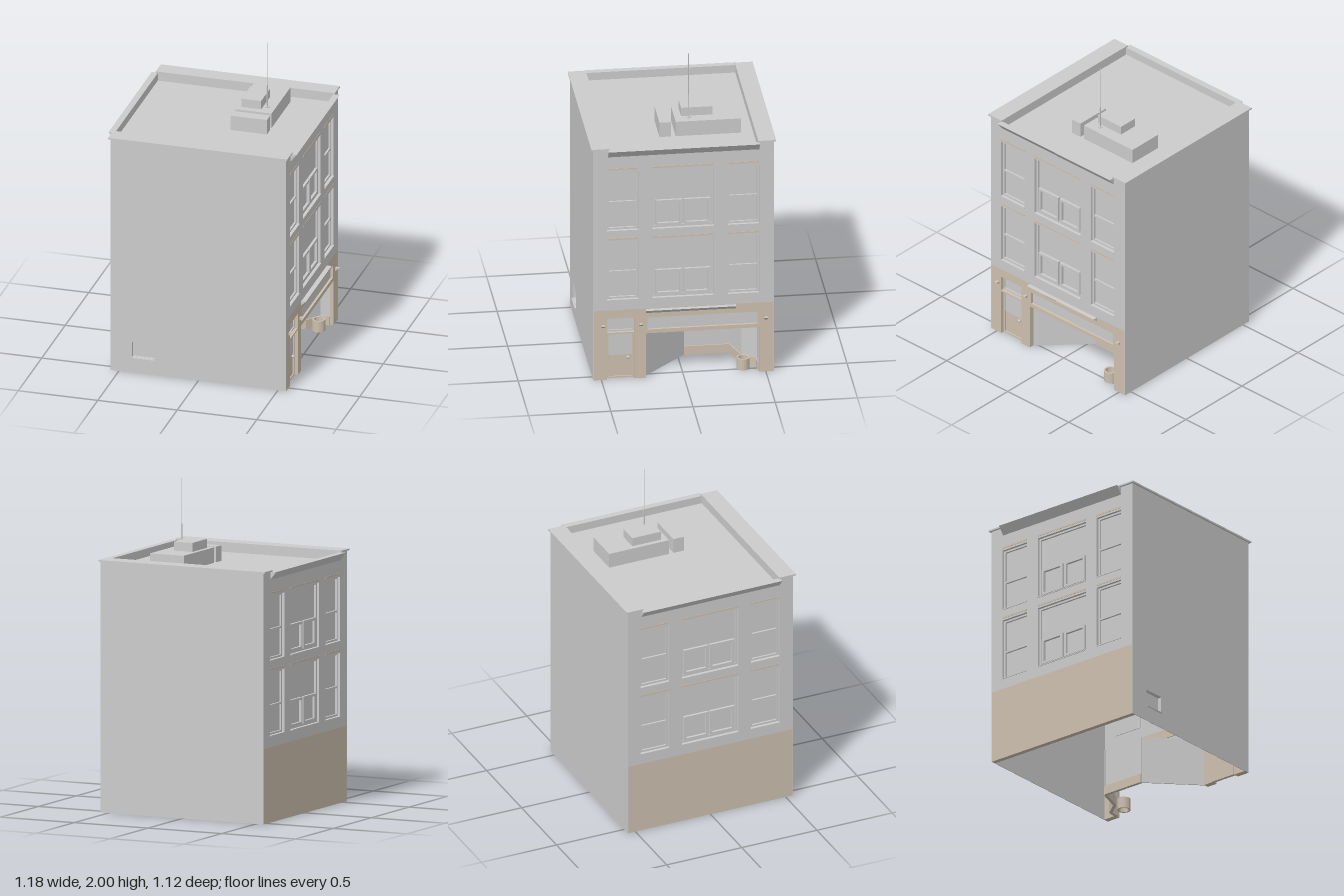
import * as THREE from 'three';

const grey = new THREE.MeshStandardMaterial({ color: 0xcccccc });
const tan = new THREE.MeshStandardMaterial({ color: 0xccbfae });

function add(parent, name, geometry, material = grey) {
  const mesh = new THREE.Mesh(geometry, material);
  mesh.name = name;
  parent.add(mesh);
  return mesh;
}

// Box given by its limits on each axis
function block(parent, name, [x0, x1], [y0, y1], [z0, z1], material) {
  const geo = new THREE.BoxGeometry(x1 - x0, y1 - y0, z1 - z0);
  geo.translate((x0 + x1) / 2, (y0 + y1) / 2, (z0 + z1) / 2);
  return add(parent, name, geo, material);
}

const rectPoints = ([x0, x1, y0, y1]) =>
  [[x0, y0], [x1, y0], [x1, y1], [x0, y1]].map(([x, y]) => new THREE.Vector2(x, y));

// Flat slab with rectangular holes; its outer face lies at z = front
function slab(parent, name, points, holes, front, depth, material) {
  const shape = new THREE.Shape(points);
  for (const h of holes) shape.holes.push(new THREE.Path(rectPoints(h)));
  const geo = new THREE.ExtrudeGeometry(shape, { depth, bevelEnabled: false });
  geo.translate(0, 0, front - depth);
  return add(parent, name, geo, material);
}

function frame(parent, name, [x0, x1, y0, y1], w, front, depth, material) {
  slab(parent, name, rectPoints([x0, x1, y0, y1]), [[x0 + w, x1 - w, y0 + w, y1 - w]], front, depth, material);
}

// Triangular prism running along x, widest at its top
function wedge(parent, name, [x0, x1], [y0, y1], out, material) {
  const shape = new THREE.Shape([[0, y0], [out, y1], [0, y1]].map(([x, y]) => new THREE.Vector2(x, y)));
  const geo = new THREE.ExtrudeGeometry(shape, { depth: x1 - x0, bevelEnabled: false });
  geo.rotateY(-Math.PI / 2);
  geo.translate(x1, 0, 0);
  return add(parent, name, geo, material);
}

// Upper storeys, shared by both window sides (local z points outward)
function upperFacade() {
  const g = new THREE.Group();
  g.name = 'upperFacade';
  const columns = [[-0.465, -0.275], [-0.19, 0.185], [0.27, 0.46]];
  const rows = [[0.53, 0.915], [0.99, 1.38]];
  const windows = rows.flatMap(r => columns.map(c => [...c, ...r]));
  slab(g, 'upperWall', rectPoints([-0.546, 0.546, 0.46, 1.48]), windows, 0, 0.03);
  for (const [x0, x1, y0, y1] of windows) {
    const mid = y0 + (y1 - y0) * 0.46, cx = (x0 + x1) / 2;
    block(g, 'windowGlass', [x0, x1], [y0, y1], [-0.034, -0.028]);
    frame(g, 'windowFrame', [x0, x1, y0, y1], 0.012, -0.016, 0.012);
    if (x1 - x0 > 0.3) {
      // Wide window: two small sashes in the lower half
      frame(g, 'lowerSash', [x0 + 0.02, cx - 0.006, y0 + 0.012, mid], 0.016, -0.012, 0.016);
      frame(g, 'lowerSash', [cx + 0.006, x1 - 0.02, y0 + 0.012, mid], 0.016, -0.012, 0.016);
    } else {
      block(g, 'windowRail', [x0 + 0.012, x1 - 0.012], [mid - 0.006, mid + 0.006], [-0.028, -0.016]);
    }
    block(g, 'lintel', [x0, x1], [y1 + 0.012, y1 + 0.022], [-0.01, 0.002], tan);
    block(g, 'windowSill', [x0, x1], [y0 - 0.006, y0], [-0.02, 0.004]);
  }
  wedge(g, 'cornice', [-0.46, 0.46], [1.48, 1.53], 0.04);
  return g;
}

// Ground floor with door, shop opening and sign band
function shopFacade() {
  const g = new THREE.Group();
  g.name = 'shopFacade';
  const outline = [[-0.546, 0], [-0.465, 0], [-0.465, 0.3], [-0.3, 0.3], [-0.3, 0], [-0.23, 0], [-0.23, 0.295],
    [0.46, 0.295], [0.46, 0], [0.546, 0], [0.546, 0.46], [-0.546, 0.46]];
  const sign = [-0.22, 0.45, 0.32, 0.4], transom = [-0.465, -0.3, 0.31, 0.405];
  slab(g, 'shopWall', outline.map(p => new THREE.Vector2(...p)), [sign, transom], 0, 0.035, tan);
  block(g, 'signBoard', [-0.22, 0.45], [0.32, 0.4], [-0.03, -0.015]);
  block(g, 'transomGlass', [-0.465, -0.3], [0.31, 0.405], [-0.034, -0.028]);
  frame(g, 'transomFrame', transom, 0.01, -0.02, 0.01);
  // Door
  block(g, 'door', [-0.465, -0.3], [0, 0.3], [-0.04, -0.03], tan);
  block(g, 'doorGlass', [-0.455, -0.31], [0.15, 0.29], [-0.032, -0.027]);
  frame(g, 'doorFrame', [-0.465, -0.3, 0, 0.3], 0.01, -0.022, 0.01, tan);
  const knob = add(g, 'doorKnob', new THREE.SphereGeometry(0.01, 12, 8));
  knob.position.set(-0.335, 0.135, -0.02);
  // Small canopy and wall lamps
  wedge(g, 'canopy', [-0.23, 0.318], [0.43, 0.457], 0.03);
  for (const u of [-0.49, -0.26, 0.5]) wedge(g, 'wallLamp', [u - 0.01, u + 0.01], [0.345, 0.366], 0.026, tan);
  return g;
}

// Upright panel between two plan points [x, z]
function panel(parent, name, [ax, az], [bx, bz], [y0, y1], thick, material) {
  const mesh = add(parent, name, new THREE.BoxGeometry(Math.hypot(bx - ax, bz - az), y1 - y0, thick), material);
  mesh.position.set((ax + bx) / 2, (y0 + y1) / 2, (az + bz) / 2);
  mesh.rotation.y = -Math.atan2(bz - az, bx - ax);
}

// Recessed entrance with angled shop windows
function shopRecess() {
  const g = new THREE.Group();
  g.name = 'shopRecess';
  const plan = [[0.52, 0.23], [0.25, -0.04], [0.25, -0.32], [0.4, -0.37], [0.47, -0.46], [0.53, -0.46]];
  for (let i = 0; i < plan.length - 1; i++) {
    const from = i === 0 ? 0 : 0.055;
    panel(g, 'shopWindow', plan[i], plan[i + 1], [from, 0.297], 0.006);
    if (i > 0) panel(g, 'windowBase', plan[i], plan[i + 1], [0, 0.057], 0.02, tan);
  }
  for (const [x, z] of plan.slice(1, 4))
    block(g, 'windowPost', [x - 0.005, x + 0.005], [0.05, 0.297], [z - 0.005, z + 0.005]);
  const shape = new THREE.Shape(plan.map(([x, z]) => new THREE.Vector2(x, -z)));
  const ceiling = new THREE.ExtrudeGeometry(shape, { depth: 0.008, bevelEnabled: false });
  ceiling.rotateX(-Math.PI / 2);
  ceiling.translate(0, 0.295, 0);
  add(g, 'recessCeiling', ceiling);
  // Hollow round planter
  const ring = [[0.03, 0], [0.04, 0], [0.04, 0.072], [0.03, 0.072], [0.03, 0]].map(p => new THREE.Vector2(...p));
  const planter = add(g, 'planter', new THREE.LatheGeometry(ring, 20),
    new THREE.MeshStandardMaterial({ color: 0xccbfae, side: THREE.DoubleSide, flatShading: true }));
  planter.position.set(0.486, 0, -0.37);
  return g;
}

export function createModel() {
  const model = new THREE.Group();
  model.name = 'building';

  // Street side and far side
  for (const side of [1, -1]) {
    const facade = new THREE.Group();
    facade.name = side > 0 ? 'streetSide' : 'farSide';
    facade.add(upperFacade());
    if (side > 0) facade.add(shopFacade());
    else block(facade, 'groundWall', [-0.546, 0.546], [0, 0.46], [-0.03, 0], tan);
    facade.rotation.y = side * Math.PI / 2;
    facade.position.x = side * 0.552;
    model.add(facade);
  }
  model.add(shopRecess());

  // Plain side walls, the front one with a small window
  const hole = [-0.42, -0.275, 0.1, 0.205];
  slab(model, 'frontWall', rectPoints([-0.552, 0.552, 0, 1.535]), [hole], 0.55, 0.004);
  block(model, 'backWall', [-0.552, 0.552], [0, 1.535], [-0.55, -0.546]);
  frame(model, 'smallWindowReveal', [-0.424, -0.271, 0.096, 0.209], 0.006, 0.548, 0.03);
  block(model, 'smallWindowGlass', [-0.42, -0.275], [0.1, 0.205], [0.518, 0.524]);
  block(model, 'smallWindowSill', [-0.42, -0.275], [0.094, 0.1], [0.54, 0.558]);

  // Roof, parapets and copings
  block(model, 'roof', [-0.55, 0.55], [1.465, 1.48], [-0.546, 0.546]);
  for (const s of [1, -1]) {
    const range = (a, b) => (s > 0 ? [a, b] : [-b, -a]);
    block(model, 'parapet', [-0.552, 0.552], [1.48, 1.532], range(0.455, 0.547));
    block(model, 'coping', [-0.565, 0.562], [1.53, 1.54], range(0.453, 0.562));
  }

  // Rooftop boxes and mast
  block(model, 'roofBox', [0.075, 0.303], [1.48, 1.575], [-0.382, 0.016]);
  block(model, 'roofDuct', [0.075, 0.303], [1.48, 1.575], [0.045, 0.115]);
  block(model, 'roofHatch', [0.102, 0.225], [1.575, 1.63], [-0.216, -0.026]);
  const mast = [[0.014, 1.575, 1.58], [0.004, 1.575, 1.72], [0.002, 1.72, 2]];
  for (const [r, y0, y1] of mast) {
    const part = add(model, 'mast', new THREE.CylinderGeometry(r, r, y1 - y0, 10));
    part.position.set(0.25, (y0 + y1) / 2, -0.068);
  }
  return model;
}
